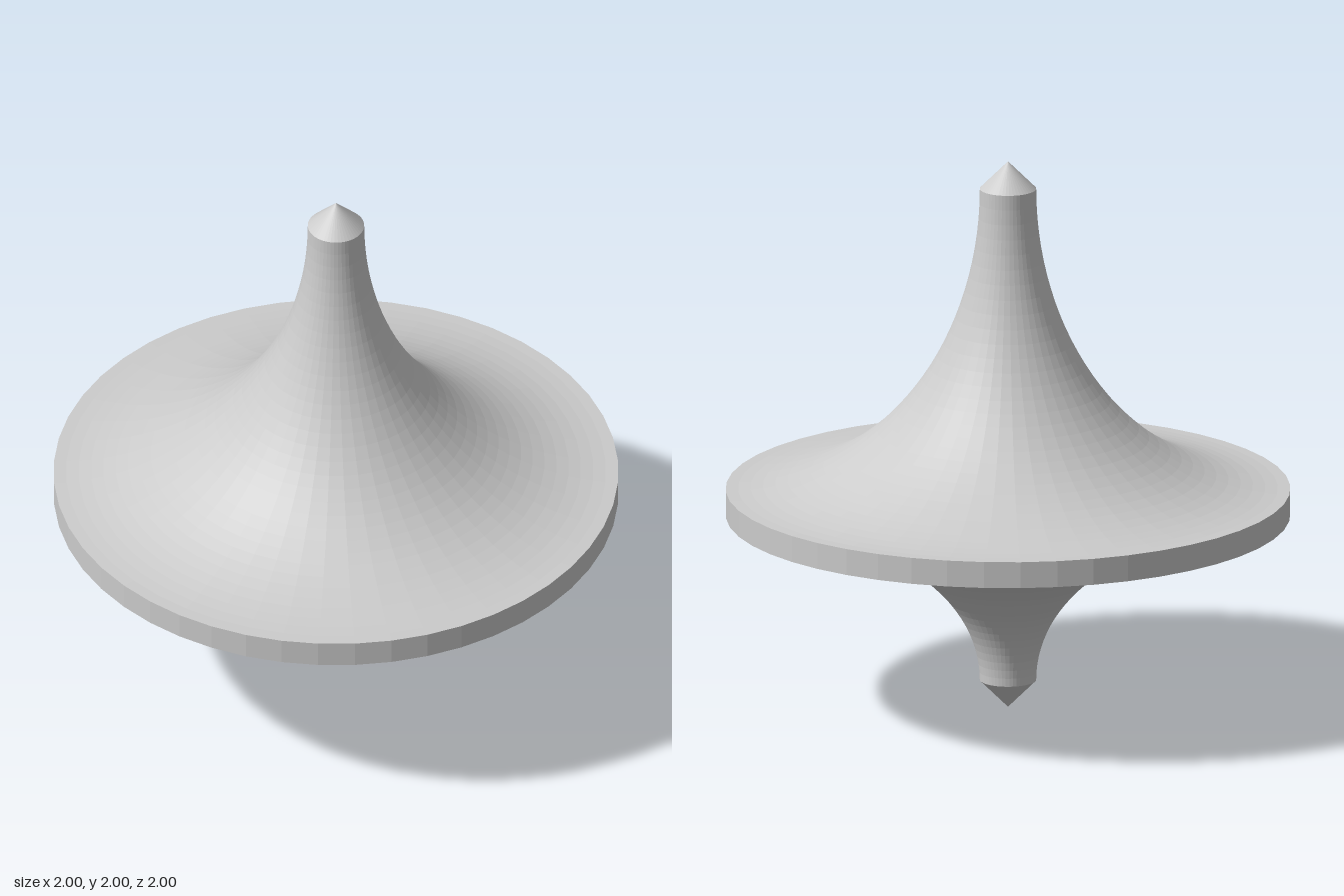
import * as THREE from 'three';

const SIDES = 48;
const STEPS = 32;
const STEM = 0.1; // stem radius
const RIM = 1; // disc radius

// Quarter-ellipse flare from the stem (at stemY) out to the rim (at rimY)
function flare(stemY, rimY) {
  const points = [];
  for (let i = 0; i <= STEPS; i++) {
    const a = (i / STEPS) * Math.PI / 2;
    points.push(new THREE.Vector2(
      RIM - (RIM - STEM) * Math.cos(a),
      stemY + (rimY - stemY) * Math.sin(a)
    ));
  }
  return points;
}

export function createModel() {
  const group = new THREE.Group();
  group.name = 'spinningTop';
  const material = new THREE.MeshStandardMaterial({ color: 0xcccccc, flatShading: true });

  // Profiles run from bottom to top so that faces point outward
  const lathe = (name, points) => {
    const mesh = new THREE.Mesh(new THREE.LatheGeometry(points, SIDES), material);
    mesh.name = name;
    group.add(mesh);
  };
  const line = (...pairs) => pairs.map(([x, y]) => new THREE.Vector2(x, y));

  lathe('bottomTip', line([0, 0], [STEM, 0.1]));
  lathe('lowerBody', flare(0.1, 0.705));
  lathe('rim', line([RIM, 0.705], [RIM, 0.8]));
  lathe('upperBody', flare(1.9, 0.8).reverse());
  lathe('topTip', line([STEM, 1.9], [0, 2]));

  return group;
}
